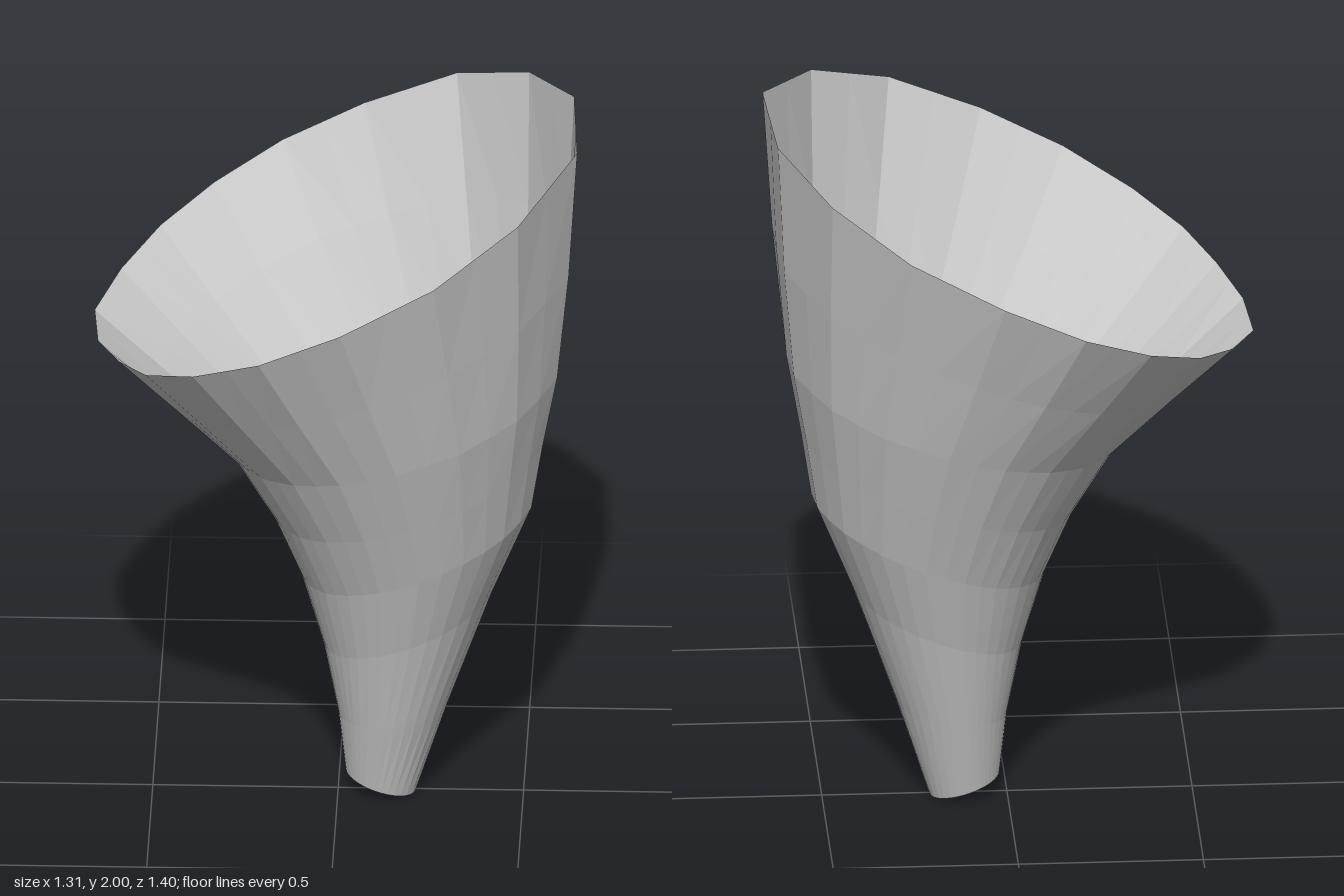
import * as THREE from 'three';

// Slanted rings, bottom to top: [left x, left y, right x, right y, half depth]
const RINGS = [
  [0.02, 0.06, 0.21, 0.0, 0.09],
  [0.0, 0.24, 0.30, 0.28, 0.16],
  [-0.04, 0.45, 0.42, 0.62, 0.24],
  [-0.10, 0.66, 0.53, 0.89, 0.325],
  [-0.18, 0.85, 0.56, 1.08, 0.40],
  [-0.30, 1.05, 0.60, 1.30, 0.485],
  [-0.48, 1.22, 0.63, 1.62, 0.585],
  [-0.655, 1.38, 0.65, 2.0, 0.70],
];

// Irregular polygon of the rim, as x, z pairs
const RIM = [
  [0.65, 0.16], [0.50, 0.47], [0.28, 0.65], [0.03, 0.70], [-0.19, 0.67], [-0.37, 0.57],
  [-0.50, 0.44], [-0.58, 0.28], [-0.64, 0.10], [-0.655, -0.10], [-0.59, -0.29], [-0.49, -0.46],
  [-0.35, -0.59], [-0.17, -0.68], [0.05, -0.70], [0.30, -0.65], [0.50, -0.47], [0.63, -0.20],
];

// Unit outline: rim corners plus the midpoint of each side
const outline = RIM.flatMap(([x, z], i) => {
  const [nx, nz] = RIM[(i + 1) % RIM.length];
  return [[x / 0.65, z / 0.7], [(x + nx) / 1.3, (z + nz) / 1.4]];
});

export function createModel() {
  const group = new THREE.Group();
  group.name = 'funnel';

  const n = outline.length;
  const positions = [];
  const indices = [];
  RINGS.forEach(([xl, yl, xr, yr, depth], r) => {
    // Round near the spout, faceted towards the rim
    const facet = Math.pow(r / (RINGS.length - 1), 2);
    for (const [ox, oz] of outline) {
      const k = THREE.MathUtils.lerp(1 / Math.hypot(ox, oz), 1, facet);
      const u = ox * k;
      const t = (u + 1) / 2;
      positions.push(
        THREE.MathUtils.lerp(xl, xr, t),
        THREE.MathUtils.lerp(yl, yr, t),
        oz * k * depth,
      );
    }
  });

  // Skin between neighbouring rings, open at both ends
  for (let r = 0; r < RINGS.length - 1; r++) {
    for (let i = 0; i < n; i++) {
      const j = (i + 1) % n;
      const a = r * n + i, b = r * n + j, c = a + n, d = b + n;
      indices.push(a, c, b, b, c, d);
    }
  }

  const geometry = new THREE.BufferGeometry();
  geometry.setAttribute('position', new THREE.Float32BufferAttribute(positions, 3));
  geometry.setIndex(indices);
  geometry.computeVertexNormals();

  const shell = new THREE.Mesh(geometry, new THREE.MeshStandardMaterial({
    color: 0xcccccc, flatShading: true, side: THREE.DoubleSide,
  }));
  shell.name = 'funnelShell';
  group.add(shell);
  return group;
}
